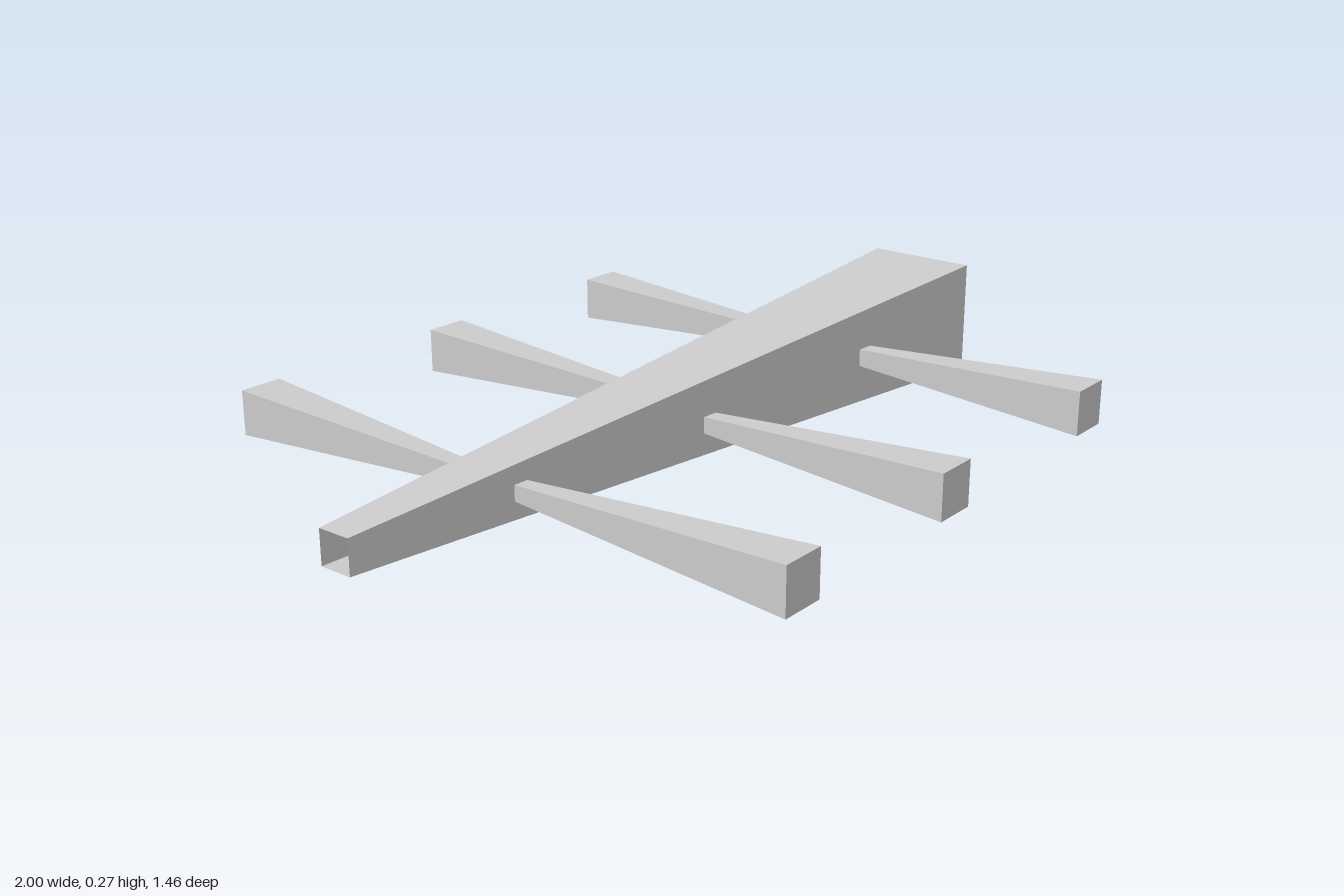
import * as THREE from 'three';

const grey = new THREE.MeshStandardMaterial({ color: 0xcccccc, flatShading: true, side: THREE.DoubleSide });

// Square bar along +z, tapering from size a at z = 0 to size b at z = length.
function taperedBar(a, b, length) {
  const geo = new THREE.BoxGeometry(1, 1, length).translate(0, 0, length / 2);
  const p = geo.attributes.position;
  for (let i = 0; i < p.count; i++) {
    const s = THREE.MathUtils.lerp(a, b, p.getZ(i) / length);
    p.setXY(i, p.getX(i) * s, p.getY(i) * s);
  }
  geo.computeVertexNormals();
  return geo;
}

export function createModel() {
  const group = new THREE.Group();

  // Main beam, widening towards +x; its narrow end is left open
  const beamGeo = taperedBar(0.077, 0.27, 2);
  beamGeo.setIndex(Array.from(beamGeo.index.array).slice(0, 30));
  const beam = new THREE.Mesh(beamGeo, grey);
  beam.name = 'beam';
  beam.rotation.y = Math.PI / 2;
  beam.position.set(-1, 0.136, -0.008);
  group.add(beam);

  // Side arms, flaring outwards: [name, x, y, inner z, outer z]
  const arms = [
    ['frontArmNarrowEnd', -0.57, 0.135, 0.03, 0.73],
    ['frontArmMiddle', 0, 0.12, 0.03, 0.7],
    ['frontArmWideEnd', 0.57, 0.135, 0.03, 0.7],
    ['backArmNarrowEnd', -0.57, 0.135, -0.045, -0.735],
    ['backArmMiddle', 0, 0.135, -0.045, -0.735],
    ['backArmWideEnd', 0.57, 0.135, -0.045, -0.735],
  ];
  for (const [name, x, y, inner, outer] of arms) {
    const arm = new THREE.Mesh(taperedBar(0.033, 0.104, Math.abs(outer - inner)), grey);
    arm.name = name;
    arm.position.set(x, y, inner);
    if (outer < 0) arm.rotation.y = Math.PI;
    group.add(arm);
  }
  return group;
}
